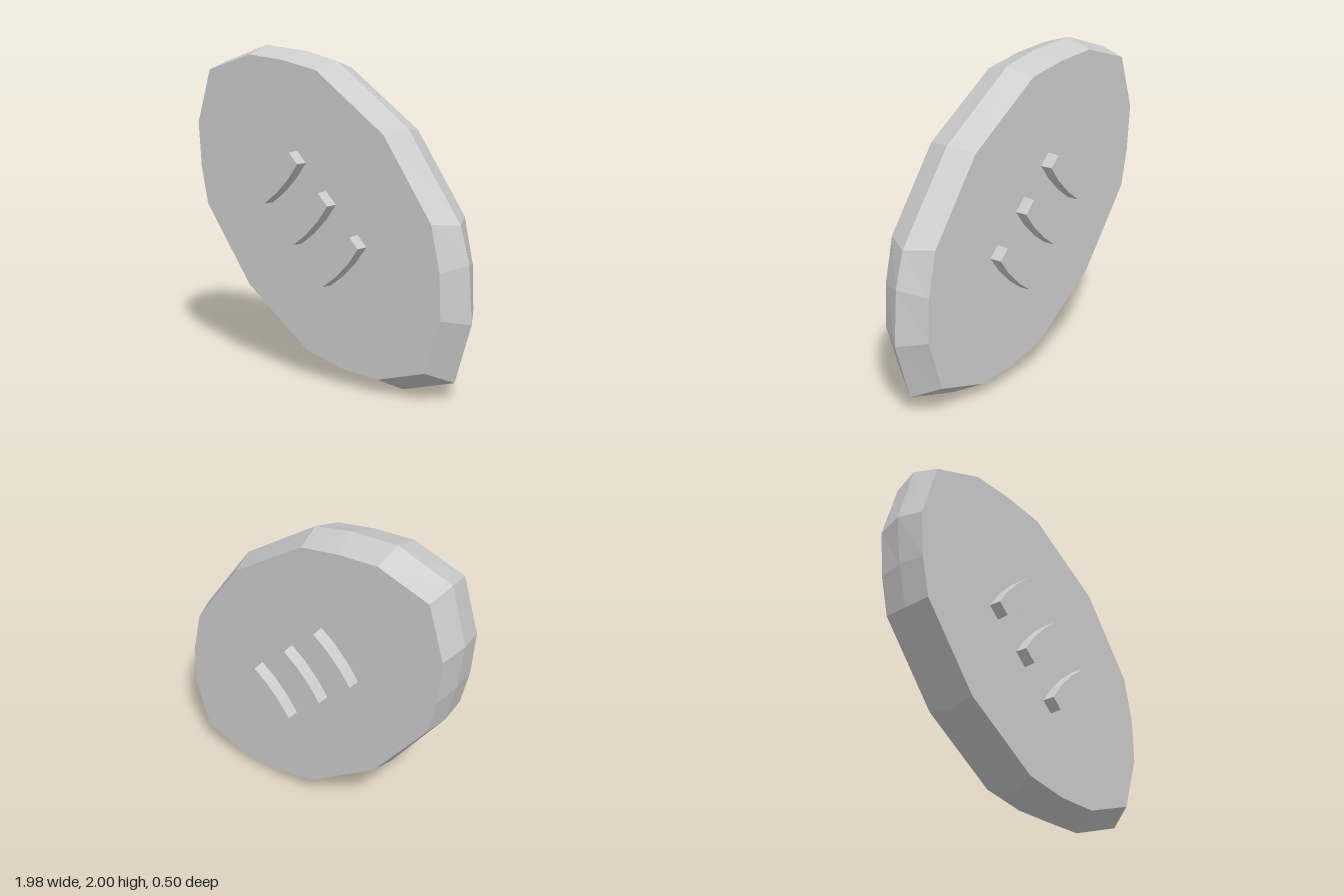
import * as THREE from 'three';

const material = new THREE.MeshStandardMaterial({ color: 0xcccccc, flatShading: true });

// Joins equal-length counter-clockwise rings (ordered back to front) and caps both ends.
function loft(rings) {
  const pos = [];
  const tri = (...pts) => pts.forEach((p) => pos.push(...p));
  const n = rings[0].length;
  const last = rings[rings.length - 1];
  for (let r = 0; r < rings.length - 1; r++) {
    const a = rings[r], b = rings[r + 1];
    for (let i = 0; i < n; i++) {
      const j = (i + 1) % n;
      tri(a[i], a[j], b[j]);
      tri(a[i], b[j], b[i]);
    }
  }
  for (let i = 1; i < n - 1; i++) {
    tri(rings[0][0], rings[0][i + 1], rings[0][i]);
    tri(last[0], last[i], last[i + 1]);
  }
  const geo = new THREE.BufferGeometry();
  geo.setAttribute('position', new THREE.Float32BufferAttribute(pos, 3));
  geo.computeVertexNormals();
  return geo;
}

const ring = (points, z) => points.map(([x, y]) => [x, y, z]);

function addMesh(parent, name, geometry) {
  const mesh = new THREE.Mesh(geometry, material);
  mesh.name = name;
  parent.add(mesh);
  return mesh;
}

// Widest outline, around the middle of the rim
const rim = [
  [-0.53, 2.0], [-0.885, 1.885], [-0.99, 1.53], [-0.96, 1.24],
  [-0.905, 0.985], [-0.55, 0.475], [-0.05, 0.11], [0.18, 0.045],
  [0.52, 0.0], [0.88, 0.11], [0.988, 0.47], [0.965, 0.81],
  [0.905, 1.03], [0.54, 1.55], [0.03, 1.915], [-0.21, 1.97],
];

// Smaller outline of the two flat faces
const face = [
  [-0.52, 1.947], [-0.855, 1.845], [-0.96, 1.51], [-0.94, 1.23],
  [-0.89, 0.995], [-0.54, 0.515], [-0.07, 0.17], [0.20, 0.105],
  [0.46, 0.09], [0.79, 0.19], [0.89, 0.51], [0.88, 0.78],
  [0.82, 1.05], [0.49, 1.525], [0.0, 1.87], [-0.26, 1.922],
];

// Barrel-shaped bar outline, lying along x
function barOutline(length, endWidth, midWidth) {
  const l = length / 2, e = endWidth / 2, m = midWidth / 2, k = length * 0.18;
  return [[-l, -e], [-k, -m], [k, -m], [l, -e], [l, e], [k, m], [-k, m], [-l, e]];
}

export function createModel() {
  const group = new THREE.Group();
  group.name = 'lacedOval';

  const depth = 0.172;
  addMesh(group, 'body', loft([ring(face, -depth), ring(rim, 0), ring(face, depth)]));

  // Three raised laces on each face: x, y, end width
  const laces = [[-0.243, 1.222, 0.098], [-0.02, 0.997, 0.108], [0.209, 0.767, 0.094]];
  for (const side of [1, -1]) {
    laces.forEach(([x, y, width], i) => {
      const base = barOutline(0.376, width, width + 0.035);
      const top = barOutline(0.368, width - 0.008, width + 0.027);
      const rings = [ring(base, side * (depth - 0.02)), ring(top, side * 0.248)];
      if (side < 0) rings.reverse();
      const lace = addMesh(group, `${side > 0 ? 'front' : 'back'}Lace${i + 1}`, loft(rings));
      lace.position.set(x, y, 0);
      lace.rotation.z = Math.PI / 4;
    });
  }
  return group;
}
